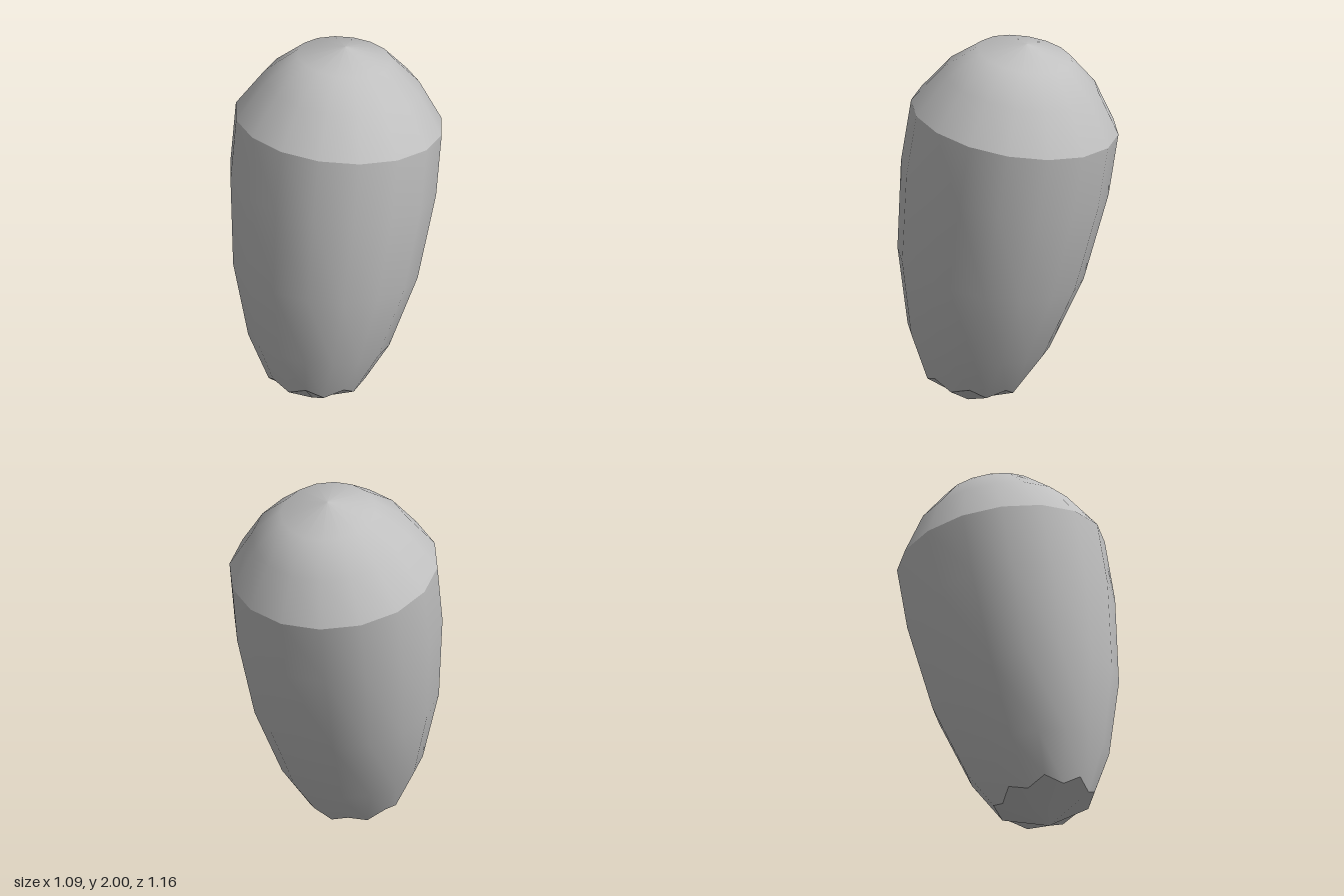
import * as THREE from 'three';

const SEGMENTS = 16;

// Turned shell from [radius, height] pairs; one ring can be given a zigzag edge.
function shell(name, profile, material, zigzagRing = -1) {
  const points = profile.map(([r, h]) => new THREE.Vector2(r, h));
  const geometry = new THREE.LatheGeometry(points, SEGMENTS, -0.05);
  if (zigzagRing >= 0) {
    const pos = geometry.attributes.position;
    for (let i = 1; i < SEGMENTS; i += 2) {
      const k = i * points.length + zigzagRing;
      // slide up along the slope of the body
      pos.setXYZ(k, pos.getX(k) * 1.09, pos.getY(k) + 0.045, pos.getZ(k) * 1.09);
    }
  }
  const mesh = new THREE.Mesh(geometry, material);
  mesh.name = name;
  return mesh;
}

export function createModel() {
  const grey = new THREE.MeshStandardMaterial({ color: 0xc0c0c0 });
  grey.name = 'grey';

  const group = new THREE.Group();
  group.name = 'pod';

  // Tapered body, wide at the rim
  const body = [[0.245, 0.117], [0.376, 0.37], [0.492, 0.78], [0.548, 1.267], [0.548, 1.612]];
  // Rounded cap on the rim
  const dome = [[0.548, 1.612], [0.41, 1.825], [0.25, 1.97], [0, 2.03]];
  // Shallow pointed base with a jagged edge
  const tip = [[0, 0], [0.245, 0.117]];

  const tilted = new THREE.Group();
  tilted.name = 'tiltedPod';
  tilted.add(
    shell('body', body, grey, 0),
    shell('dome', dome, grey),
    shell('tip', tip, grey, 1)
  );

  // Lean back about the tip
  tilted.rotation.x = -0.165;
  tilted.position.set(-0.005, 0, 0.23);
  group.add(tilted);
  return group;
}
